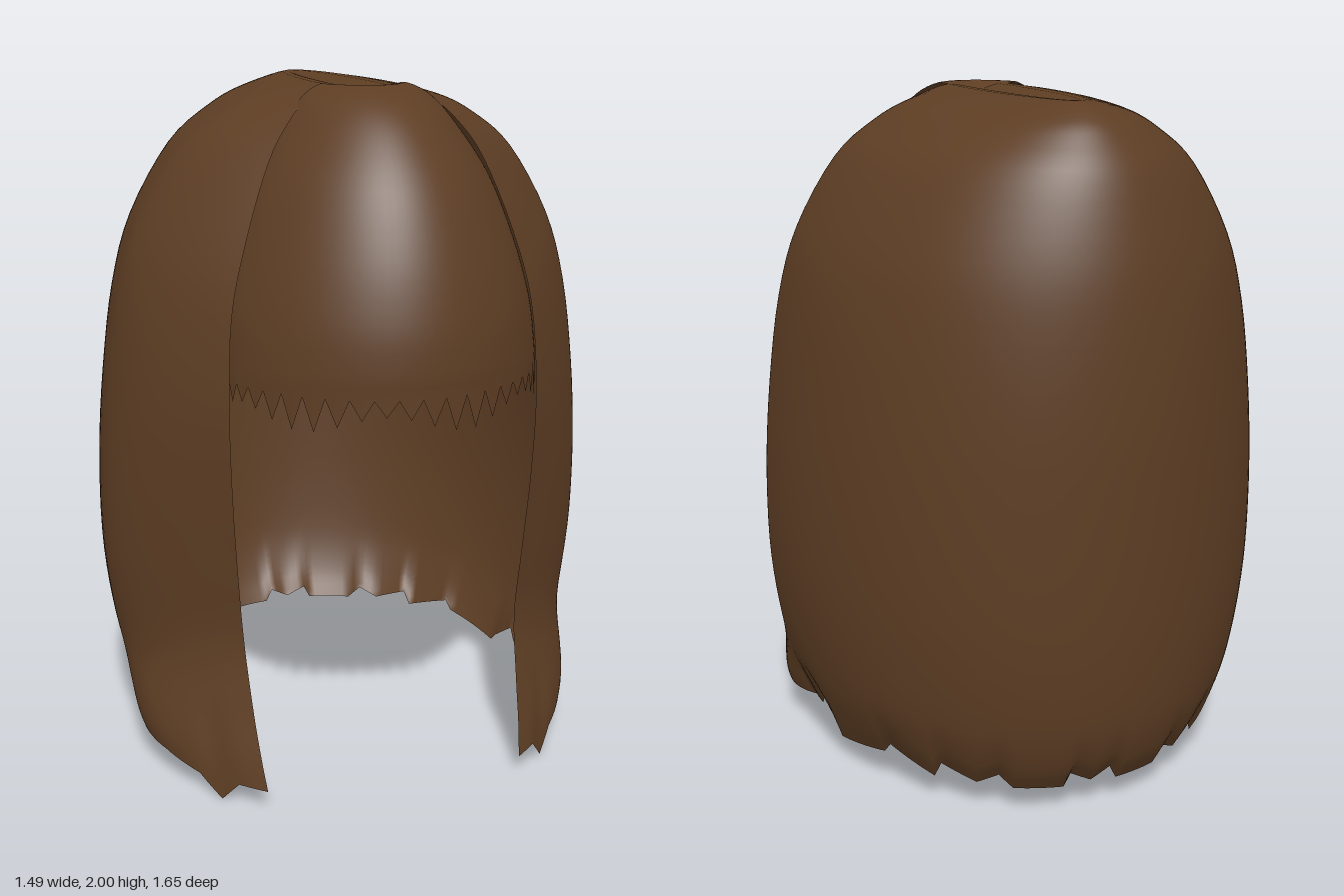
import * as THREE from 'three';

const brown = new THREE.MeshStandardMaterial({ color: 0x5e3e24, side: THREE.DoubleSide });
brown.name = 'brown hair';

// Smooth surface from a grid of points; point(row, column) returns [x, y, z]
function sheet(name, rows, cols, point) {
  const pos = [], index = [];
  for (let r = 0; r <= rows; r++) {
    for (let c = 0; c <= cols; c++) {
      pos.push(...point(r, c));
      if (r < rows && c < cols) {
        const a = r * (cols + 1) + c, d = a + cols + 1;
        index.push(a, a + 1, d, a + 1, d + 1, d);
      }
    }
  }
  const g = new THREE.BufferGeometry();
  g.setAttribute('position', new THREE.Float32BufferAttribute(pos, 3));
  g.setIndex(index);
  g.computeVertexNormals();
  const mesh = new THREE.Mesh(g, brown);
  mesh.name = name;
  return mesh;
}

const spline = (pts) =>
  new THREE.CatmullRomCurve3(pts.map((p) => new THREE.Vector3(...p)), false, 'catmullrom', 0.5);

// Piecewise linear lookup in [[u, y], ...]
function lookup(table, u) {
  for (let i = 1; i < table.length; i++) {
    const [u0, y0] = table[i - 1], [u1, y1] = table[i];
    if (u <= u1) return y0 + (y1 - y0) * (u - u0) / (u1 - u0);
  }
  return table[table.length - 1][1];
}

// Long hair: height, half width, back z, front edge x, front edge z
const levels = [
  [1.972, 0, -0.43, 0, 0.265],
  [1.992, 0.1, -0.54, 0.09, 0.28],
  [1.955, 0.27, -0.63, 0.18, 0.325],
  [1.9, 0.385, -0.685, 0.24, 0.365],
  [1.8, 0.505, -0.745, 0.305, 0.405],
  [1.6, 0.625, -0.797, 0.38, 0.455],
  [1.4, 0.685, -0.818, 0.43, 0.487],
  [1.15, 0.722, -0.825, 0.445, 0.51],
  [0.9, 0.743, -0.82, 0.44, 0.505],
  [0.65, 0.745, -0.81, 0.425, 0.49],
  [0.45, 0.725, -0.795, 0.41, 0.485],
  [0.28, 0.69, -0.77, 0.4, 0.54],
  [0.16, 0.65, -0.73, 0.39, 0.595],
  [0.08, 0.62, -0.68, 0.38, 0.63],
];

// Ragged hem, from the middle of the back (0) to the front edge (1)
const hem = [
  [0, 0.09], [0.0375, 0.12], [0.05, 0.08], [0.1375, 0.08], [0.1625, 0.12], [0.2, 0.09],
  [0.2625, 0.13], [0.275, 0.085], [0.3625, 0.14], [0.375, 0.11], [0.4875, 0.075],
  [0.5, 0.1], [0.55, 0.165], [0.5625, 0.125], [0.7, 0.115], [0.825, 0.09],
  [0.9, 0.06], [0.9375, 0], [0.9625, 0.06], [1, 0.06],
];

function longHair() {
  const sides = spline(levels.map(([y, w, back]) => [w, y, back]));
  const edges = spline(levels.map(([y, , , x, z]) => [x, y, z]));
  const rows = 52, cols = 160, middle = 0.07;
  return sheet('longHair', rows, cols, (r, c) => {
    const u = 2 * c / cols - 1, k = Math.abs(u);
    const a = sides.getPoint(r / rows), e = edges.getPoint(r / rows);
    let x, z;
    if (k <= 0.6) { // back: half an ellipse
      const t = k / 0.6 * Math.PI / 2;
      x = a.x * Math.sin(t);
      z = middle - (middle - a.z) * Math.cos(t);
    } else { // sides: curve inward to the front edge, flaring out at the hem
      const s = (k - 0.6) / 0.4, q = 1 - s;
      const bend = a.x + 0.16 * (1 - THREE.MathUtils.smoothstep(a.y, 0.08, 0.4));
      x = q * q * a.x + 2 * q * s * bend + s * s * e.x;
      z = q * q * middle + 2 * q * s * (middle + 0.4 * (e.z - middle)) + s * s * e.z;
    }
    // squeeze the lowest rows onto the ragged hem
    const low = lookup(hem, k);
    const y = a.y < 0.3 ? low + (a.y - 0.08) * (0.3 - low) / 0.22 : a.y;
    return [Math.sign(u) * x, y, z];
  });
}

// Fringe, tucked under the long hair: height, half width, side z, front z
const fringeLevels = [
  [1.965, 0, 0.24, 0.24],
  [1.99, 0.09, 0.25, 0.33],
  [1.995, 0.13, 0.27, 0.4],
  [1.96, 0.19, 0.3, 0.5],
  [1.88, 0.25, 0.345, 0.6],
  [1.75, 0.325, 0.395, 0.7],
  [1.58, 0.387, 0.435, 0.775],
  [1.42, 0.428, 0.462, 0.815],
  [1.3, 0.442, 0.475, 0.825],
  [1.23, 0.447, 0.48, 0.822],
];

function fringe() {
  const widths = spline(fringeLevels.map(([y, w, z]) => [w, y, z]));
  const fronts = spline(fringeLevels.map(([y, , , z]) => [0, y, z]));
  const rows = 36, cols = 44;
  return sheet('fringe', rows, cols, (r, c) => {
    const t = Math.PI * (0.5 - c / cols);
    const w = widths.getPoint(r / rows), d = fronts.getPoint(r / rows).z;
    // pointed strands along the lower edge
    const tooth = r === rows && c % 2 ? 0.07 + 0.025 * Math.sin(c * 2.7) : 0;
    const bulge = Math.pow(Math.max(Math.cos(t), 0), 1.5);
    return [w.x * Math.sin(t), w.y - tooth, w.z + (d - w.z) * bulge];
  });
}

export function createModel() {
  const group = new THREE.Group();
  group.name = 'hair';
  group.add(longHair(), fringe());
  return group;
}
